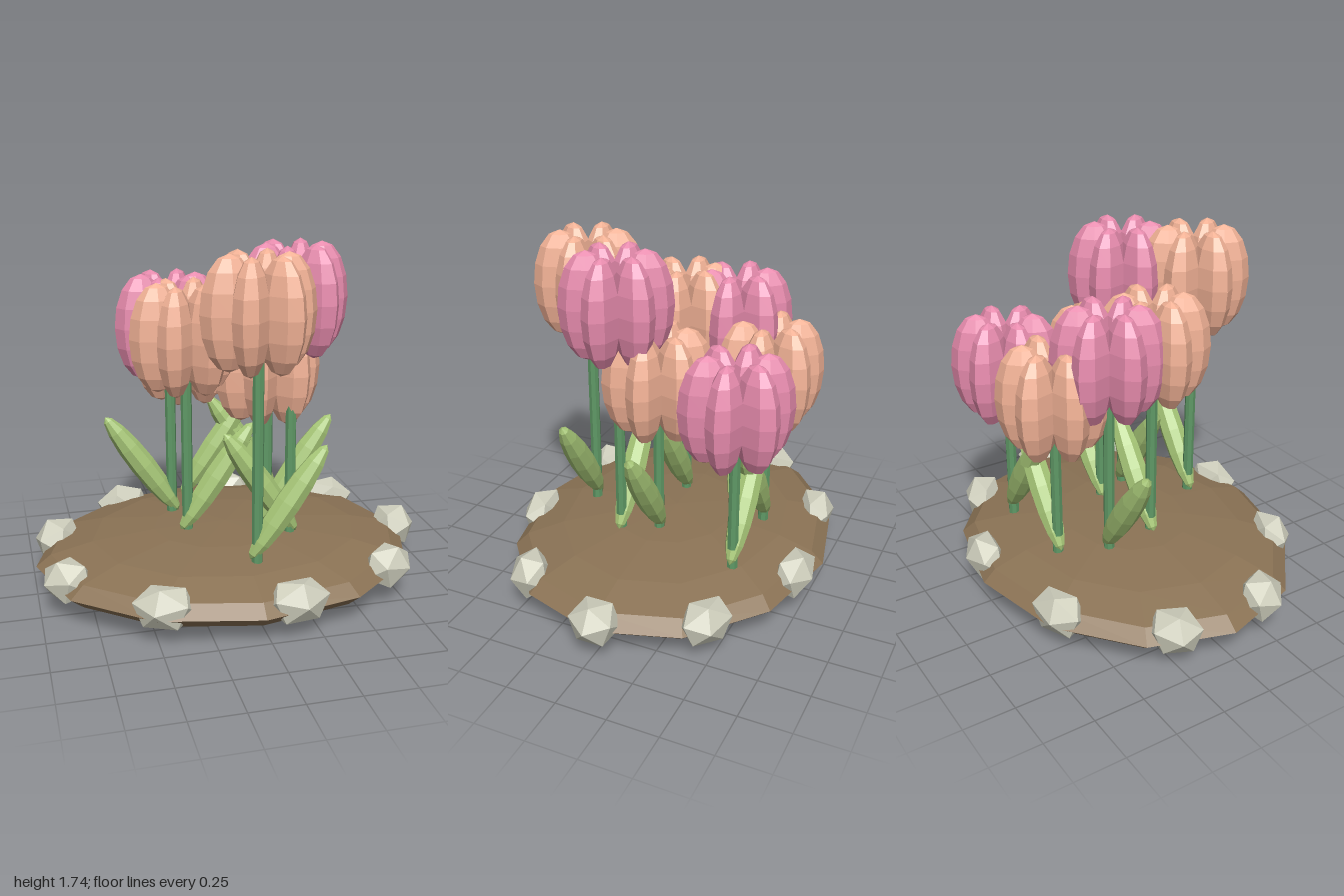
import * as THREE from 'three';

const material = (color) => new THREE.MeshStandardMaterial({ color, flatShading: true });

const soil = material(0x8b7355);
const stone = material(0xd0d0be);
const stemGreen = material(0x5f9966);
const leafGreen = material(0xa8c878);
const peach = material(0xf2b296);
const pink = material(0xe88cae);
const yellow = material(0xf0cc50);

function part(name, geometry, mat, x = 0, y = 0, z = 0) {
  const mesh = new THREE.Mesh(geometry, mat);
  mesh.name = name;
  mesh.position.set(x, y, z);
  return mesh;
}

// Low-poly ellipsoid with its poles along y
const ellipsoid = (rx, ry, rz, w = 8, h = 8) => new THREE.SphereGeometry(1, w, h).scale(rx, ry, rz);

const petalGeometry = ellipsoid(0.135, 0.265, 0.085);
const leafGeometry = ellipsoid(0.064, 0.328, 0.064);
const centreGeometry = ellipsoid(0.05, 0.05, 0.05);

// One tulip: stem, six petals around the axis and a leaf leaning to one side
function tulip({ x, z, headY, color, lean }) {
  const group = new THREE.Group();
  group.name = 'tulip';
  group.position.set(x, 0, z);

  const bottom = 0.22;
  const length = headY - bottom;
  const stemGeometry = new THREE.CylinderGeometry(0.027, 0.027, length, 8);
  group.add(part('stem', stemGeometry, stemGreen, 0, bottom + length / 2, 0));

  const head = new THREE.Group();
  head.name = 'flowerHead';
  head.position.y = headY;
  for (let i = 0; i < 6; i++) {
    const angle = (i * Math.PI) / 3;
    const petal = part('petal', petalGeometry, color, 0.135 * Math.cos(angle), 0, -0.135 * Math.sin(angle));
    petal.rotation.y = angle;
    head.add(petal);
  }
  head.add(part('flowerCentre', centreGeometry, yellow, 0, 0.1, 0));
  group.add(head);

  const leaf = part('leaf', leafGeometry, leafGreen, lean * 0.15, 0.555, 0);
  leaf.rotation.z = -lean * 0.6;
  group.add(leaf);
  return group;
}

export function createModel() {
  const model = new THREE.Group();
  model.name = 'tulipBed';

  // Flattened mound of soil
  model.add(part('soilMound', ellipsoid(0.96, 0.15, 0.8, 12, 8), soil, -0.04, 0.15, 0));

  // Ring of stones, each with one corner pointing outwards
  const stones = new THREE.Group();
  stones.name = 'stoneRing';
  stones.position.set(-0.022, 0.18, 0);
  stones.scale.z = 0.8;
  const stoneGeometry = new THREE.IcosahedronGeometry(1, 0)
    .rotateZ(-Math.atan2(0.851, 0.526))
    .scale(0.121, 0.116, 0.16);
  for (let i = 0; i < 9; i++) {
    const angle = (i * Math.PI * 2) / 9;
    const rock = part('stone', stoneGeometry, stone, 0.9 * Math.cos(angle), 0, 0.9 * Math.sin(angle));
    rock.rotation.y = -angle;
    stones.add(rock);
  }
  model.add(stones);

  // Tulips in three heights, tallest at the front
  const tulips = [
    { x: 0.01, z: 0.444, headY: 1.47, color: peach, lean: 1 },
    { x: 0.25, z: 0.176, headY: 1.47, color: pink, lean: -1 },
    { x: -0.24, z: 0.035, headY: 1.28, color: peach, lean: 1 },
    { x: -0.27, z: -0.225, headY: 1.28, color: pink, lean: -1 },
    { x: 0.18, z: 0, headY: 1.095, color: peach, lean: 1 },
    { x: 0.315, z: -0.45, headY: 1.095, color: pink, lean: -1 },
    { x: -0.14, z: -0.44, headY: 1.095, color: peach, lean: 1 },
  ];
  tulips.forEach((t) => model.add(tulip(t)));

  return model;
}
